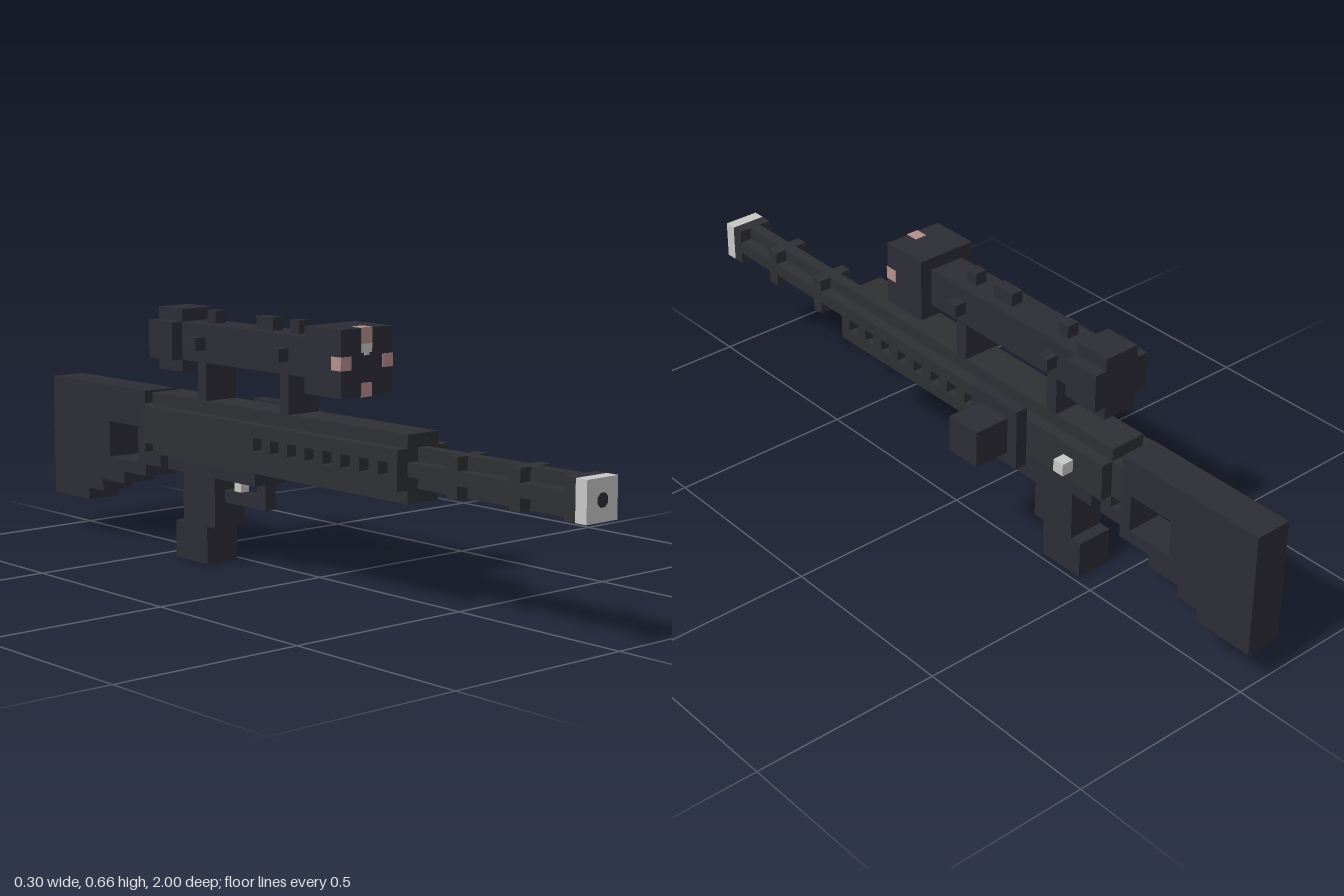
import * as THREE from 'three';

// The model is blocky: everything sits on a grid of 61 cells along its length.
const U = 2 / 61;
const X0 = -4.5 * U;

const material = (name, color) => {
  const m = new THREE.MeshStandardMaterial({ color });
  m.name = name;
  return m;
};

export function createModel() {
  const model = new THREE.Group();
  model.name = 'scopedRifle';
  const metal = material('gunmetal', 0x2e3034);
  const dark = material('dark blue grey', 0x2d2d37);
  const grey = material('light grey', 0xc9c9c9);
  const pink = material('dusty pink', 0xb88f8f);

  const group = (name) => {
    const g = new THREE.Group();
    g.name = name;
    model.add(g);
    return g;
  };
  // Box from cell ranges: x from the right, y from the ground, k back from the muzzle
  const box = (parent, name, mat, [x0, x1], [y0, y1], [k0, k1]) => {
    const mesh = new THREE.Mesh(new THREE.BoxGeometry((x1 - x0) * U, (y1 - y0) * U, (k1 - k0) * U), mat);
    mesh.position.set(X0 + ((x0 + x1) / 2) * U, ((y0 + y1) / 2) * U, 1 - ((k0 + k1) / 2) * U);
    mesh.name = name;
    parent.add(mesh);
    return mesh;
  };
  // Side profile in (k, y) cells, extruded across the three middle cells
  const outline = (points, Type) => new Type(points.map(([k, y]) => new THREE.Vector2(k * U, y * U)));
  const profile = (parent, name, mat, points, holes = []) => {
    const shape = outline(points, THREE.Shape);
    holes.forEach((h) => shape.holes.push(outline(h, THREE.Path)));
    const geo = new THREE.ExtrudeGeometry(shape, { depth: 3 * U, bevelEnabled: false });
    geo.rotateY(Math.PI / 2).translate(X0 + U, 0, 1);
    const mesh = new THREE.Mesh(geo, mat);
    mesh.name = name;
    parent.add(mesh);
  };

  // Barrel: cross-shaped core, square rings and a pale muzzle with a dark bore
  const barrel = group('barrel');
  box(barrel, 'barrelUpright', metal, [2, 3], [9, 12], [1, 17]);
  box(barrel, 'barrelCross', metal, [1, 4], [10, 11], [1, 17]);
  for (const k of [1, 6, 12]) box(barrel, 'barrelRing', metal, [1, 4], [9, 12], [k, k + 1]);
  box(barrel, 'muzzle', grey, [1, 4], [9, 12], [0, 1]);
  const bore = new THREE.Mesh(new THREE.CylinderGeometry(0.53 * U, 0.53 * U, 0.004, 8), dark);
  bore.geometry.rotateY(Math.PI / 8).rotateX(Math.PI / 2);
  bore.position.set(X0 + 2.5 * U, 10.5 * U, 1);
  bore.name = 'bore';
  barrel.add(bore);

  // Receiver: core with side rails and underside, all pierced by vent pockets
  const body = group('receiver');
  box(body, 'receiverCore', metal, [1, 4], [9, 13], [17, 47]);
  for (const x of [0, 4]) {
    for (const y of [9, 11]) box(body, 'sideRail', metal, [x, x + 1], [y, y + 1], [17, 47]);
    box(body, 'sidePanel', metal, [x, x + 1], [10, 11], [33, 47]);
  }
  for (const x of [1, 3]) box(body, 'underRail', metal, [x, x + 1], [8, 9], [17, 47]);
  box(body, 'underPanel', metal, [2, 3], [8, 9], [33, 47]);
  for (let k = 17; k < 33; k += 2) {
    for (const x of [0, 4]) box(body, 'sideVentBar', metal, [x, x + 1], [10, 11], [k, k + 1]);
    box(body, 'underVentBar', metal, [2, 3], [8, 9], [k, k + 1]);
  }
  box(body, 'neck', metal, [1, 4], [9, 12], [47, 48]);
  box(body, 'boltHandle', grey, [5, 6], [10, 11], [43, 44]);

  // Magazine on the left side
  const magazine = group('magazine');
  box(magazine, 'magazinePlate', dark, [5, 6], [8, 13], [34, 39]);
  box(magazine, 'magazineBox', dark, [6, 9], [9, 12], [35, 38]);

  // Trigger and guard
  const guard = group('triggerGuard');
  box(guard, 'guardTop', dark, [1, 4], [7, 8], [34, 39]);
  box(guard, 'guardFront', dark, [2, 3], [5, 7], [34, 35]);
  box(guard, 'guardBottom', dark, [2, 3], [5, 6], [35, 39]);
  box(guard, 'trigger', grey, [2.1, 2.9], [6, 7], [37.1, 37.9]);

  // Grip with a stepped foot
  profile(group('grip'), 'gripBody', dark, [
    [39, 8], [39, 3], [40, 3], [40, 0], [44, 0], [44, 3], [43, 3], [43, 7], [45, 7], [45, 8],
  ]);

  // Stock with a thumb opening and stepped lower edge
  const stock = group('stock');
  profile(stock, 'stockBody', dark, [
    [48, 13], [48, 6], [51, 6], [51, 5], [54, 5], [54, 4], [56, 4], [56, 3], [61, 3], [61, 13],
  ], [[[49, 7], [53, 7], [53, 10], [49, 10]]]);
  box(stock, 'stockLink', dark, [1, 4], [7, 8], [46, 48]);

  // Scope: tube, two mounts with ring bumps, turret, eyepiece and front housing
  const scope = group('scope');
  box(scope, 'scopeTube', dark, [1, 4], [16, 19], [27, 43]);
  for (const k of [30, 40]) {
    box(scope, 'scopeMount', dark, [1, 4], [13, 16], [k, k + 1]);
    box(scope, 'ringSideBumps', dark, [0, 5], [17, 18], [k, k + 1]);
    box(scope, 'ringTopBump', dark, [2, 3], [19, 20], [k, k + 1]);
  }
  box(scope, 'turret', dark, [2, 3], [19, 20], [33, 35]);
  box(scope, 'eyepieceUpright', dark, [1, 4], [15, 20], [43, 46]);
  box(scope, 'eyepieceCross', dark, [0, 5], [16, 19], [43, 46]);
  box(scope, 'frontHousing', dark, [0, 5], [15, 20], [23, 27]);

  // Painted lens marks, wrapping slightly over the housing edges
  const e = 0.05;
  const depth = [23 - e, 24];
  box(scope, 'topMark', pink, [2, 3], [18.85, 20 + e], depth);
  box(scope, 'bottomMark', pink, [2, 3], [15 - e, 16], depth);
  box(scope, 'rightMark', pink, [-e, 1], [17, 18], depth);
  box(scope, 'leftMark', pink, [4, 5 + e], [17, 18], depth);
  box(scope, 'lensGlint', grey, [2, 3], [18.2, 18.85], depth);
  box(scope, 'lensGlintTip', grey, [2.25, 2.75], [18, 18.2], depth);

  return model;
}
